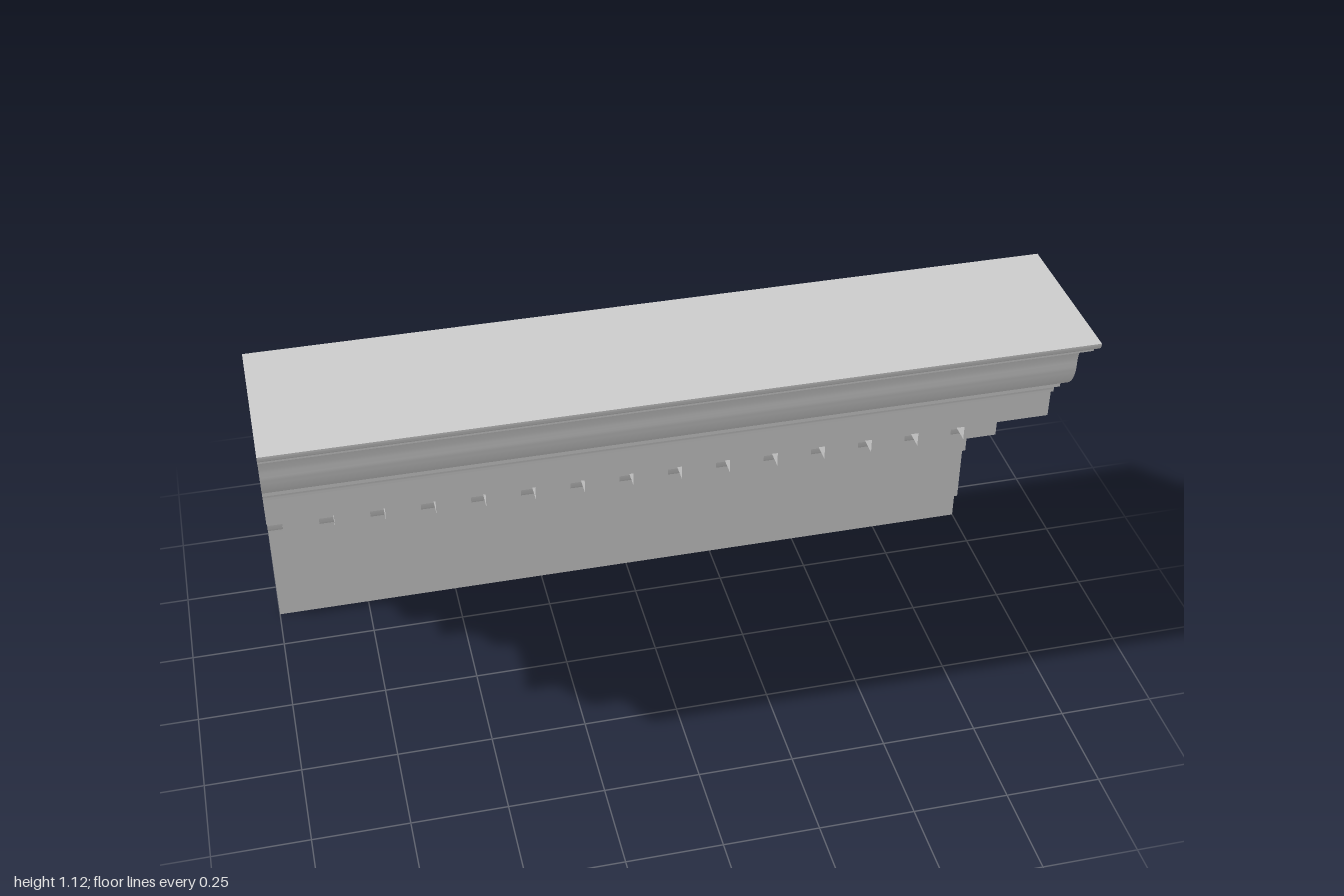
import * as THREE from 'three';
import { toCreasedNormals } from 'three/addons/utils/BufferGeometryUtils.js';

const LENGTH = 2;

// Profile as [z, y]; entries with four numbers are quarter rounds
// reaching [z, y], whose end tangents meet at the last two numbers.
const PROFILE = [
  // back, sloped top and flat top
  [-0.378, 0], [-0.4, 0], [-0.4, 0.744], [-0.02, 1.122], [0.4, 1.122],
  // crown: small ovolo, fillet, cyma and cove
  [0.4, 1.118], [0.366, 1.095, 0.4, 1.095], [0.363, 1.095], [0.363, 1.077],
  [0.286, 0.994, 0.286, 1.077], [0.286, 0.979], [0.211, 0.893, 0.286, 0.9],
  [0.211, 0.869], [0.179, 0.838, 0.179, 0.869], [0.179, 0.832],
  // corona with a hollowed soffit
  [0.164, 0.832], [0.164, 0.747], [0.137, 0.747], [0.137, 0.756],
  [-0.003, 0.756], [-0.003, 0.747], [-0.027, 0.747],
  // bed mould: ovolo and bead
  [-0.027, 0.735], [-0.11, 0.649, -0.027, 0.655],
  [-0.098, 0.636, -0.098, 0.649], [-0.11, 0.622, -0.098, 0.622],
  [-0.11, 0.607], [-0.2, 0.607],
  // wall behind the dentils
  [-0.2, 0.588], [-0.22, 0.588], [-0.22, 0.443],
  // lower cyma
  [-0.229, 0.443], [-0.28, 0.393, -0.229, 0.393],
  [-0.316, 0.357, -0.316, 0.393], [-0.316, 0.342],
  // stepped fascias
  [-0.334, 0.342], [-0.334, 0.271], [-0.356, 0.271],
  [-0.356, 0.088], [-0.378, 0.088], [-0.378, 0],
];

function profileShape() {
  const shape = new THREE.Shape();
  const k = 0.5523;
  let [pz, py] = PROFILE[0];
  shape.moveTo(pz, py);
  for (const [z, y, cz, cy] of PROFILE.slice(1)) {
    if (cz === undefined) shape.lineTo(z, y);
    else shape.bezierCurveTo(
      pz + k * (cz - pz), py + k * (cy - py),
      z + k * (cz - z), y + k * (cy - y), z, y);
    [pz, py] = [z, y];
  }
  return shape;
}

export function createModel() {
  const group = new THREE.Group();
  group.name = 'cornice';
  const material = new THREE.MeshStandardMaterial({ color: 0xcccccc });

  // moulding run along x
  const run = new THREE.ExtrudeGeometry(profileShape(), {
    depth: LENGTH, bevelEnabled: false, curveSegments: 14,
  });
  run.rotateY(-Math.PI / 2);
  run.translate(LENGTH / 2, 0, 0);
  const moulding = new THREE.Mesh(toCreasedNormals(run, 0.45), material);
  moulding.name = 'moulding';
  group.add(moulding);

  // row of dentils, flush with the left end
  const dentils = new THREE.Group();
  dentils.name = 'dentils';
  const width = 0.094, pitch = 0.1333;
  const block = new THREE.BoxGeometry(width, 0.14, 0.08);
  for (let i = 0; i < 15; i++) {
    const dentil = new THREE.Mesh(block, material);
    dentil.name = 'dentil';
    dentil.position.set(LENGTH / 2 - width / 2 - i * pitch, 0.537, -0.18);
    dentils.add(dentil);
  }
  group.add(dentils);
  return group;
}
